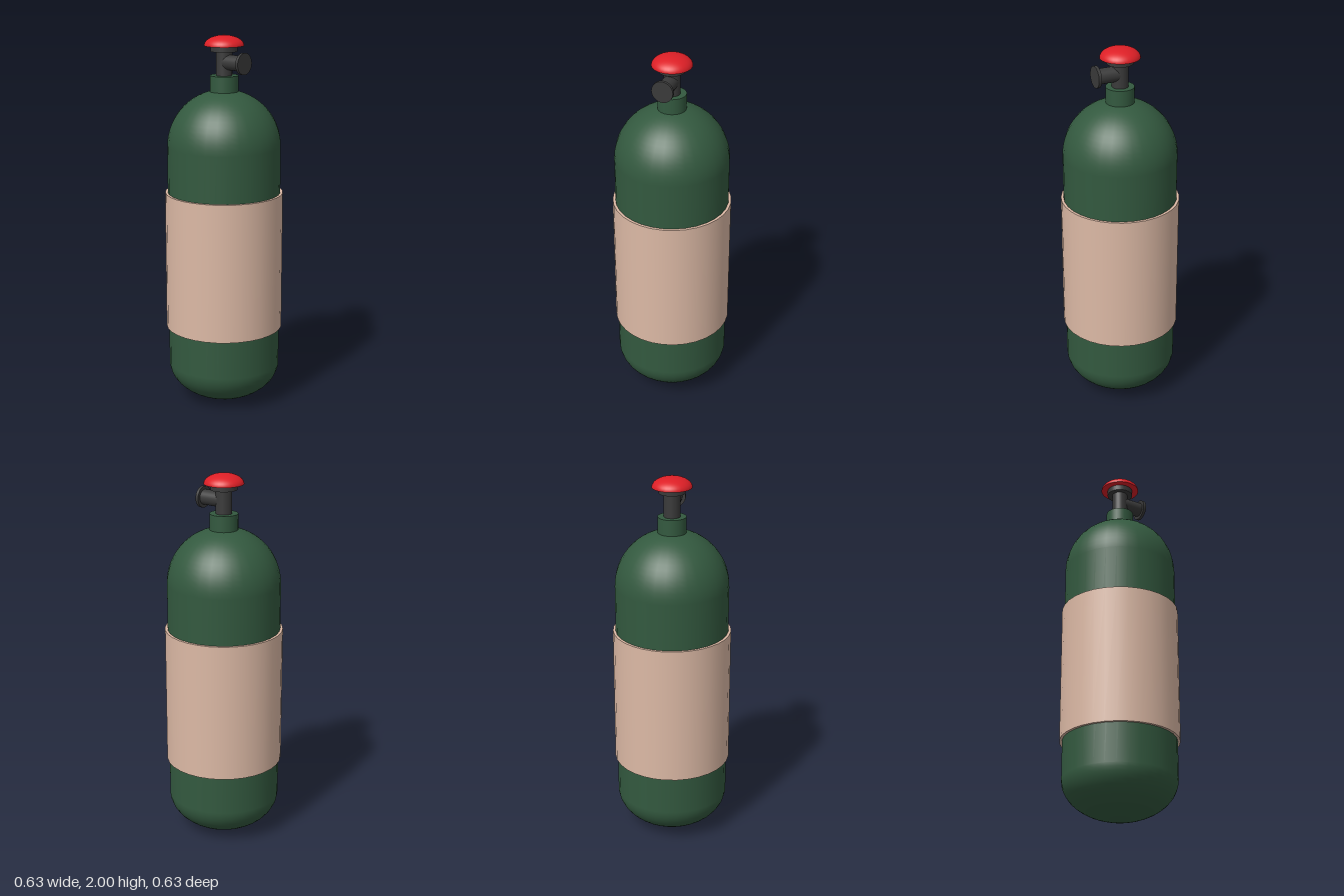
import * as THREE from 'three';

const SIDES = 32;

export function createModel() {
  const model = new THREE.Group();
  const green = new THREE.MeshStandardMaterial({ color: 0x33593f });
  const tan = new THREE.MeshStandardMaterial({ color: 0xdcb9a5 });
  const dark = new THREE.MeshStandardMaterial({ color: 0x3a3a3a });
  const red = new THREE.MeshStandardMaterial({ color: 0xdd1f26, side: THREE.DoubleSide });

  const add = (name, geometry, material) => {
    const mesh = new THREE.Mesh(geometry, material);
    mesh.name = name;
    model.add(mesh);
    return mesh;
  };

  // Upright cylinder between two heights
  const upright = (name, radius, y0, y1, material, open = false) => {
    const g = new THREE.CylinderGeometry(radius, radius, y1 - y0, SIDES, 1, open);
    return add(name, g.translate(0, (y0 + y1) / 2, 0), material);
  };

  // Cylinder lying along x, for the side outlet
  const sideways = (name, radius, x0, x1, y) => {
    const g = new THREE.CylinderGeometry(radius, radius, x1 - x0, SIDES);
    return add(name, g.rotateZ(Math.PI / 2).translate((x0 + x1) / 2, y, 0), dark);
  };

  // Half ellipsoid, bulging up or down from height y
  const dome = (name, radius, height, y, up, material) => {
    const g = new THREE.SphereGeometry(1, SIDES, 16, 0, Math.PI * 2, up ? 0 : Math.PI / 2, Math.PI / 2);
    return add(name, g.scale(radius, height, radius).translate(0, y, 0), material);
  };

  // Tank
  upright('tankBody', 0.302, 0.205, 1.415, green, true);
  dome('tankShoulder', 0.302, 0.3, 1.415, true, green);
  dome('tankBase', 0.302, 0.205, 0.205, false, green);
  upright('sleeve', 0.316, 0.415, 1.165, tan);
  upright('neck', 0.075, 1.66, 1.79, green);

  // Valve with side outlet
  upright('valveStem', 0.043, 1.78, 1.93, dark);
  upright('valveCollar', 0.07, 1.915, 1.948, dark);
  sideways('outletPipe', 0.04, 0, 0.13, 1.86);
  sideways('outletFlange', 0.057, 0.125, 0.141, 1.86);

  // Domed hand knob, closed underneath
  dome('knob', 0.105, 0.055, 1.945, true, red);
  add('knobUnderside', new THREE.CircleGeometry(0.105, SIDES).rotateX(Math.PI / 2).translate(0, 1.945, 0), red);

  return model;
}
